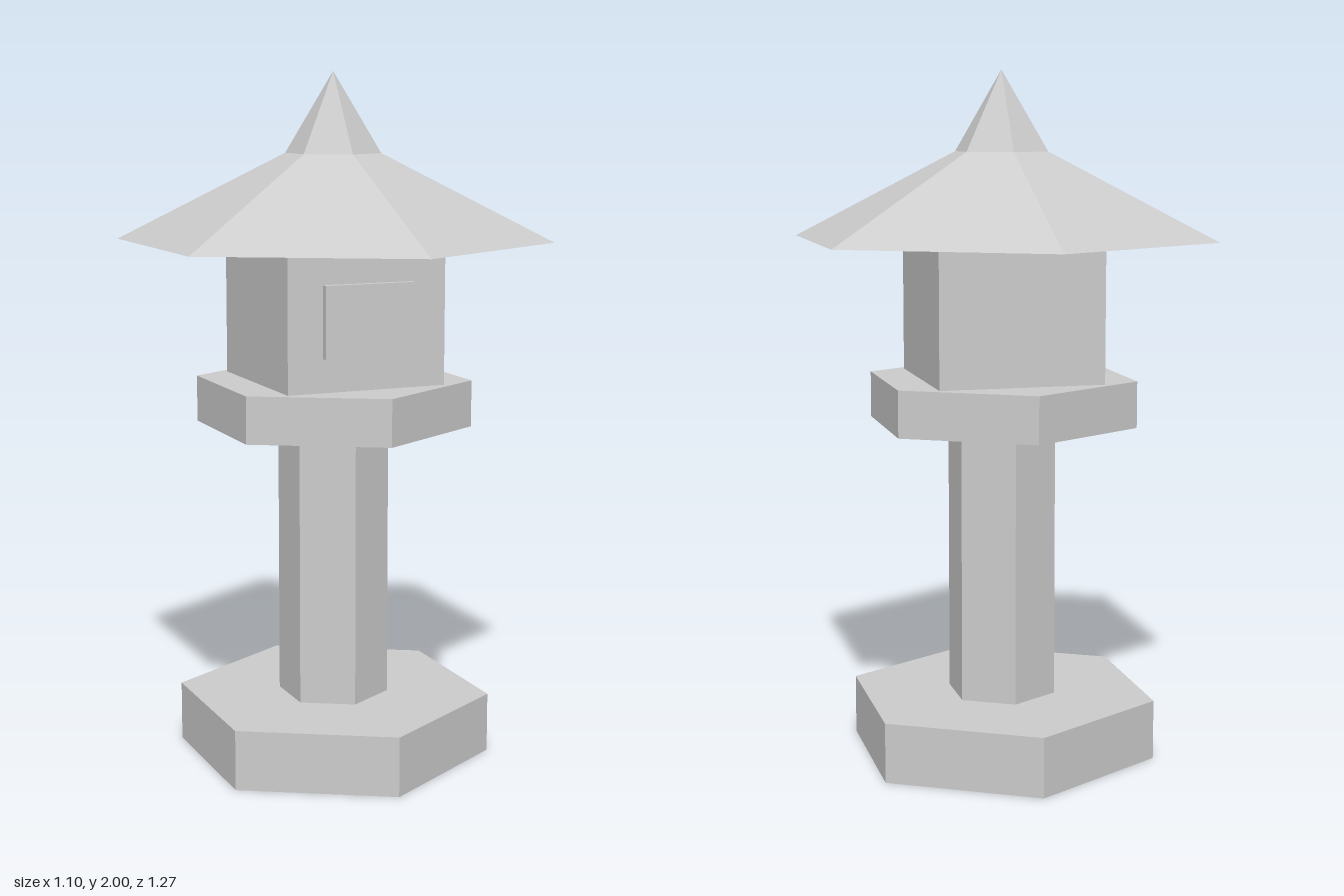
import * as THREE from 'three';

export function createModel() {
  const model = new THREE.Group();
  const stone = new THREE.MeshStandardMaterial({ color: 0xcccccc, flatShading: true });
  stone.name = 'stone';

  function add(name, geometry, x, y, z) {
    const mesh = new THREE.Mesh(geometry, stone);
    mesh.name = name;
    mesh.position.set(x, y, z);
    model.add(mesh);
  }

  // Six-sided tier with corners on the z axis, from y0 up to y1
  function hexTier(name, bottomRadius, topRadius, y0, y1) {
    const geometry = new THREE.CylinderGeometry(topRadius, bottomRadius, y1 - y0, 6);
    add(name, geometry, 0, (y0 + y1) / 2, 0);
  }

  // Base, post and platform
  hexTier('base', 0.463, 0.463, 0, 0.175);
  hexTier('post', 0.162, 0.162, 0.175, 0.985);
  hexTier('platform', 0.403, 0.403, 0.985, 1.12);

  // Square light chamber with a raised panel on the front
  add('lightChamber', new THREE.BoxGeometry(0.48, 0.4, 0.48), 0, 1.32, 0);
  add('windowPanel', new THREE.BoxGeometry(0.27, 0.205, 0.024), 0, 1.318, 0.25);

  // Wide roof and its pointed cap
  hexTier('roof', 0.633, 0.138, 1.52, 1.77);
  hexTier('finial', 0.138, 0, 1.77, 2);

  return model;
}
